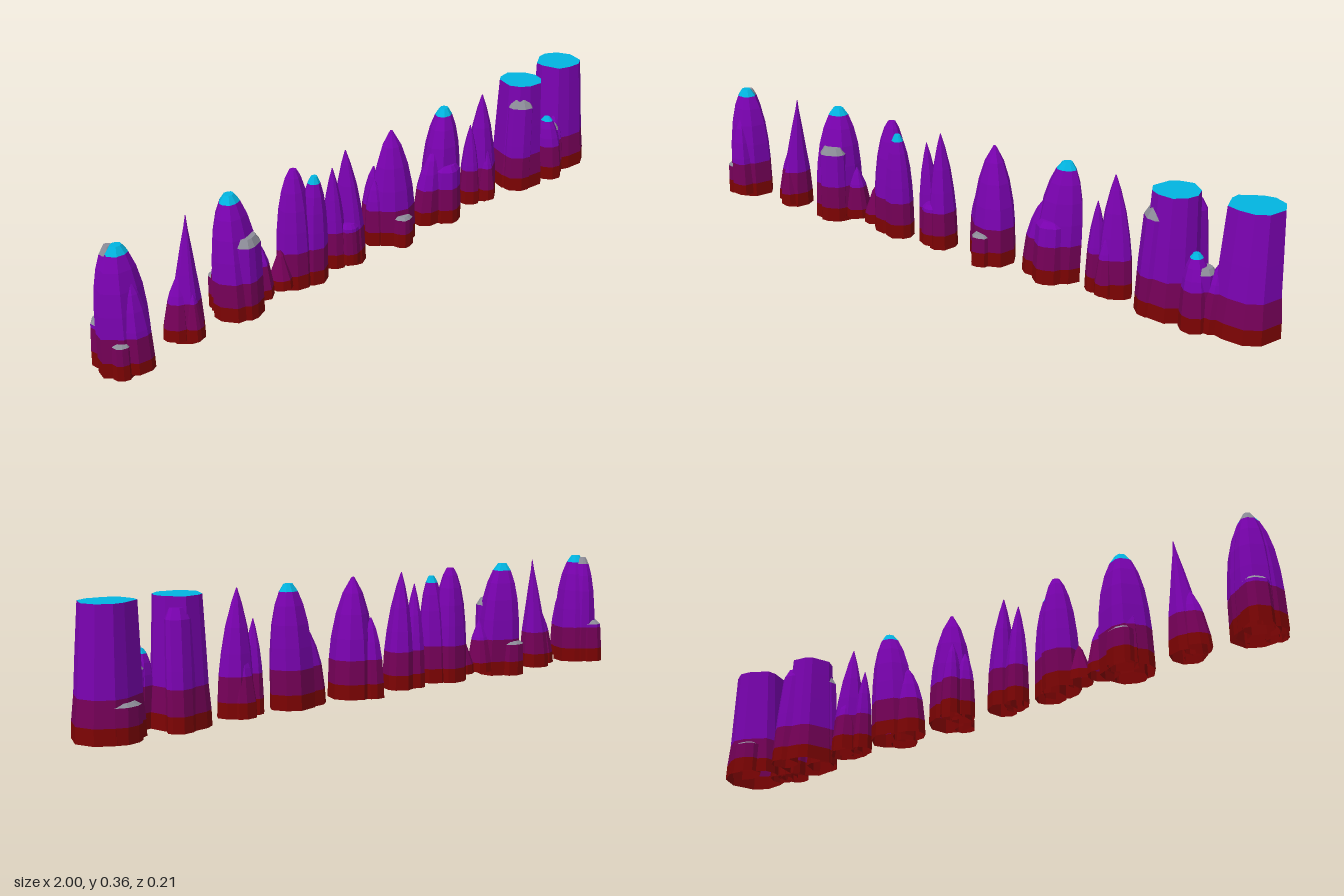
import * as THREE from 'three';

// Rocks are hollow and open underneath, so both sides show
const material = (name, color) => {
  const m = new THREE.MeshStandardMaterial({ color, flatShading: true, side: THREE.DoubleSide });
  m.name = name;
  return m;
};

// Width of a spire against height, as [height fraction, width fraction]
const PROFILES = {
  dome: [[0, 1], [0.3, 0.98], [0.5, 0.92], [0.68, 0.81], [0.83, 0.63], [0.94, 0.41], [1, 0.2]],
  needle: [[0, 1], [0.2, 0.95], [0.35, 0.8], [0.55, 0.56], [0.75, 0.32], [0.9, 0.12], [1, 0.02]],
  spire: [[0, 1], [0.3, 0.94], [0.5, 0.8], [0.7, 0.59], [0.88, 0.29], [1, 0.03]],
  ogive: [[0, 1], [0.3, 0.97], [0.5, 0.88], [0.7, 0.69], [0.87, 0.42], [1, 0.06]],
  column: [[0, 1], [0.14, 0.98], [0.32, 0.91], [0.6, 0.86], [0.85, 0.81], [1, 0.78]],
  ledge: [[0, 1], [0.5, 0.98], [0.91, 0.93], [1, 0.62]],
};
const BANDS = [0.045, 0.117];

function random(seed) {
  let s = seed * 7919 + 17;
  return () => (s = (s * 16807) % 2147483647) / 2147483647;
}

function widthAt(profile, t) {
  for (let i = 1; i < profile.length; i++) {
    const [t0, w0] = profile[i - 1], [t1, w1] = profile[i];
    if (t <= t1) return w0 + (w1 - w0) * (t - t0) / (t1 - t0);
  }
  return profile[profile.length - 1][1];
}

export function createModel() {
  const mats = [
    material('red base', 0x7c0303), material('magenta band', 0x750058),
    material('purple rock', 0x7a02b0), material('cyan top', 0x02b4e0),
    material('grey ledge', 0x8c8c98),
  ];
  const model = new THREE.Group();
  model.name = 'rockSpires';
  let seed = 1;

  // Faceted rock lofted through rings, with its colour chosen by height
  function rock(type, x0, x1, z0, z1, h, tipX, tipZ, cap = 2, y0 = 0) {
    const rand = random(seed++), profile = PROFILES[type];
    const n = type === 'column' ? 10 : 9;
    const cx = (x0 + x1) / 2, cz = (z0 + z1) / 2;
    const rx = (x1 - x0) / 2, rz = (z1 - z0) / 2;
    const corners = [];
    for (let i = 0; i < n; i++) {
      const a = (i + (rand() - 0.5) * 0.5) / n * Math.PI * 2;
      const r = 0.94 + rand() * 0.12;
      corners.push([Math.cos(a) * r, Math.sin(a) * r]);
    }
    const chamfered = type === 'dome' || type === 'ledge';
    const tipStart = profile[profile.length - 2][0] * h;
    const heights = [y0, ...BANDS.filter(b => b < (chamfered ? tipStart : h) - 0.002),
      ...profile.map(p => p[0] * h).filter(y => y > 0.125 || y >= tipStart)];
    const rings = heights.map(y => {
      const t = y / h, w = widthAt(profile, t), lean = t ** 1.4;
      const mx = cx + (tipX - cx) * lean, mz = cz + (tipZ - cz) * lean;
      return corners.map(([u, v]) => new THREE.Vector3(mx + u * rx * w, y, mz + v * rz * w));
    });
    const faces = [[], [], [], [], []];
    const tri = (band, ...pts) => pts.forEach(p => faces[band].push(p.x, p.y, p.z));
    const last = rings.length - 1;
    for (let k = 0; k < last; k++) {
      let band = BANDS.filter(b => heights[k] >= b - 1e-6).length;
      if (chamfered && k === last - 1) band = cap;
      for (let i = 0; i < n; i++) {
        const j = (i + 1) % n;
        const A = rings[k][i], B = rings[k][j], C = rings[k + 1][j], D = rings[k + 1][i];
        tri(band, A, D, C);
        tri(band, A, C, B);
      }
    }
    // Flat top
    const top = rings[last].reduce((s, p) => s.add(p), new THREE.Vector3()).divideScalar(n);
    for (let i = 0; i < n; i++) tri(cap, top, rings[last][(i + 1) % n], rings[last][i]);

    const g = new THREE.BufferGeometry();
    g.setAttribute('position', new THREE.Float32BufferAttribute(faces.flat(), 3));
    let start = 0;
    faces.forEach((f, i) => {
      if (f.length) g.addGroup(start, f.length / 3, i);
      start += f.length / 3;
    });
    g.computeVertexNormals();
    const mesh = new THREE.Mesh(g, mats);
    mesh.name = type;
    return mesh;
  }

  function formation(name, ...rocks) {
    const group = new THREE.Group();
    group.name = name;
    rocks.forEach(r => group.add(rock(...r)));
    model.add(group);
  }
  const CYAN = 3, GREY = 4;

  // Each rock: type, x range, z range, height, tip x and z, cap colour, base height
  formation('domeRock',
    ['dome', -0.998, -0.845, -0.065, 0.068, 0.36, -0.918, 0.005, CYAN],
    ['dome', -0.985, -0.865, -0.07, 0.04, 0.354, -0.928, -0.018, GREY],
    ['ogive', -0.955, -0.865, 0.0, 0.09, 0.27, -0.912, 0.045, 2, 0.01],
    ['ledge', -0.985, -0.9, -0.088, 0, 0.14, -0.94, -0.04, GREY],
    ['ledge', -0.985, -0.92, 0.015, 0.07, 0.105, -0.95, 0.043, GREY]);
  formation('leaningNeedle',
    ['needle', -0.765, -0.665, -0.05, 0.055, 0.36, -0.695, 0],
    ['spire', -0.787, -0.71, -0.045, 0.04, 0.2, -0.73, 0, 2, 0.01],
    ['spire', -0.745, -0.685, 0.01, 0.065, 0.15, -0.715, 0.035, 2, 0.01]);
  formation('broadDome',
    ['dome', -0.612, -0.455, -0.075, 0.065, 0.36, -0.535, -0.018, CYAN],
    ['ledge', -0.57, -0.475, -0.01, 0.073, 0.245, -0.522, 0.03, GREY],
    ['ogive', -0.59, -0.5, -0.08, -0.01, 0.24, -0.55, -0.04],
    ['ledge', -0.585, -0.5, -0.092, -0.02, 0.11, -0.545, -0.055, GREY],
    ['spire', -0.485, -0.41, -0.05, 0.04, 0.18, -0.45, 0, 2, 0.015]);
  formation('twinDome',
    ['dome', -0.375, -0.255, -0.055, 0.045, 0.36, -0.31, -0.01],
    ['dome', -0.312, -0.22, -0.03, 0.06, 0.335, -0.262, 0.025, CYAN],
    ['spire', -0.415, -0.335, -0.04, 0.04, 0.13, -0.375, 0, 2, 0.015]);
  formation('twinNeedle',
    ['spire', -0.15, -0.06, -0.045, 0.055, 0.36, -0.115, 0],
    ['spire', -0.197, -0.125, -0.045, 0.035, 0.32, -0.168, 0],
    ['ledge', -0.16, -0.1, 0.01, 0.062, 0.14, -0.13, 0.03, 2, 0.01]);
  formation('pointedRock',
    ['ogive', 0.012, 0.155, -0.065, 0.065, 0.36, 0.08, -0.005],
    ['ogive', -0.013, 0.065, -0.05, 0.02, 0.21, 0.02, -0.015],
    ['ogive', 0.01, 0.075, -0.088, -0.02, 0.24, 0.045, -0.045],
    ['ledge', 0.04, 0.105, 0.025, 0.083, 0.1, 0.073, 0.053, GREY]);
  formation('leaningDome',
    ['dome', 0.232, 0.378, -0.07, 0.058, 0.36, 0.325, -0.015, CYAN],
    ['ogive', 0.19, 0.3, -0.05, 0.04, 0.24, 0.265, 0],
    ['ledge', 0.25, 0.345, 0.0, 0.075, 0.19, 0.3, 0.03]);
  formation('slenderNeedle',
    ['spire', 0.445, 0.555, -0.05, 0.05, 0.36, 0.49, 0],
    ['spire', 0.405, 0.475, -0.035, 0.035, 0.27, 0.437, 0],
    ['spire', 0.455, 0.515, 0.01, 0.065, 0.19, 0.485, 0.03, 2, 0.01],
    ['spire', 0.45, 0.53, -0.062, 0.01, 0.2, 0.49, -0.02]);
  formation('flatColumn',
    ['column', 0.592, 0.765, -0.085, 0.09, 0.36, 0.68, 0.002, CYAN],
    ['ledge', 0.588, 0.685, -0.015, 0.085, 0.315, 0.648, 0.028, GREY],
    ['ledge', 0.67, 0.758, -0.1, -0.02, 0.33, 0.705, -0.04]);
  formation('lowRock',
    ['dome', 0.735, 0.825, 0.01, 0.105, 0.215, 0.77, 0.05, CYAN],
    ['ledge', 0.765, 0.828, 0.005, 0.075, 0.18, 0.795, 0.045, GREY]);
  formation('wideColumn',
    ['column', 0.8, 1, -0.1, 0.088, 0.362, 0.9, -0.018, CYAN],
    ['ledge', 0.835, 0.95, -0.108, -0.02, 0.105, 0.89, -0.065, GREY],
    ['ogive', 0.79, 0.86, 0.0, 0.08, 0.2, 0.835, 0.03]);
  return model;
}
